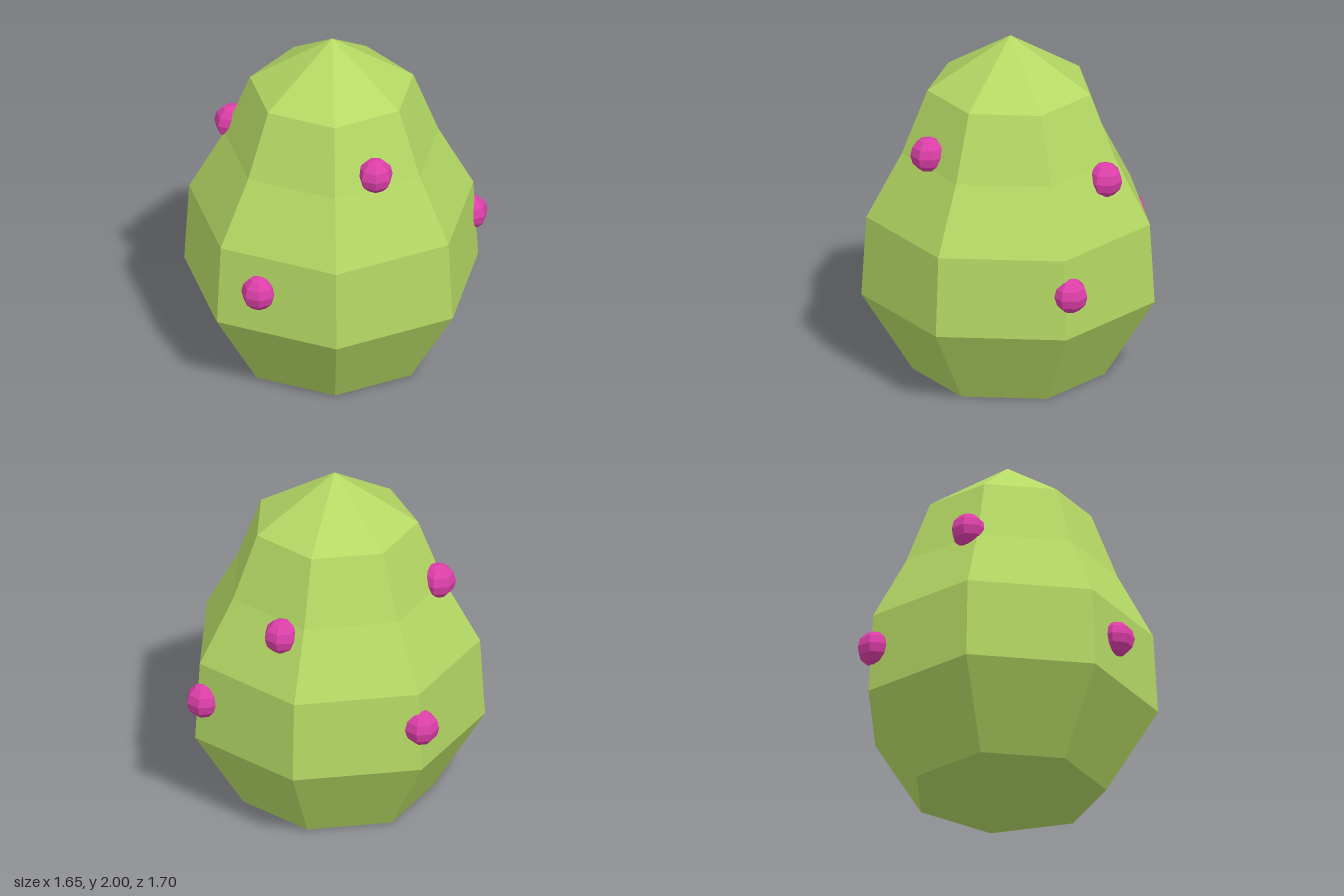
import * as THREE from 'three';

const SIDES = 7;

export function createModel() {
  const model = new THREE.Group();
  const green = new THREE.MeshStandardMaterial({ color: 0xb4d864, flatShading: true });
  const pink = new THREE.MeshStandardMaterial({ color: 0xdc3fa8, flatShading: true });

  // Faceted seven-sided body: closed profile from the base centre to the apex
  const profile = [
    [0, 0], [0.553, 0], [0.845, 0.475], [0.817, 0.945],
    [0.615, 1.32], [0.47, 1.695], [0, 2],
  ].map(([r, y]) => new THREE.Vector2(r, y));
  const body = new THREE.Mesh(new THREE.LatheGeometry(profile, SIDES, Math.PI), green);
  body.name = 'body';
  model.add(body);

  // Small faceted balls half sunk into the surface, one corner towards the back
  const ballGeometry = new THREE.SphereGeometry(0.1, SIDES, 6).rotateY(-Math.PI / 2);
  const spots = [
    [-0.11, 0.73, 0.76],
    [0.425, 1.405, 0.355],
    [-0.585, 1.36, 0.07],
    [0.138, 1.25, -0.597],
    [0.61, 0.73, -0.535],
    [-0.65, 0.73, -0.495],
  ];
  spots.forEach(([x, y, z], i) => {
    const ball = new THREE.Mesh(ballGeometry, pink);
    ball.name = `ball${i + 1}`;
    ball.position.set(x, y, z);
    model.add(ball);
  });

  return model;
}
